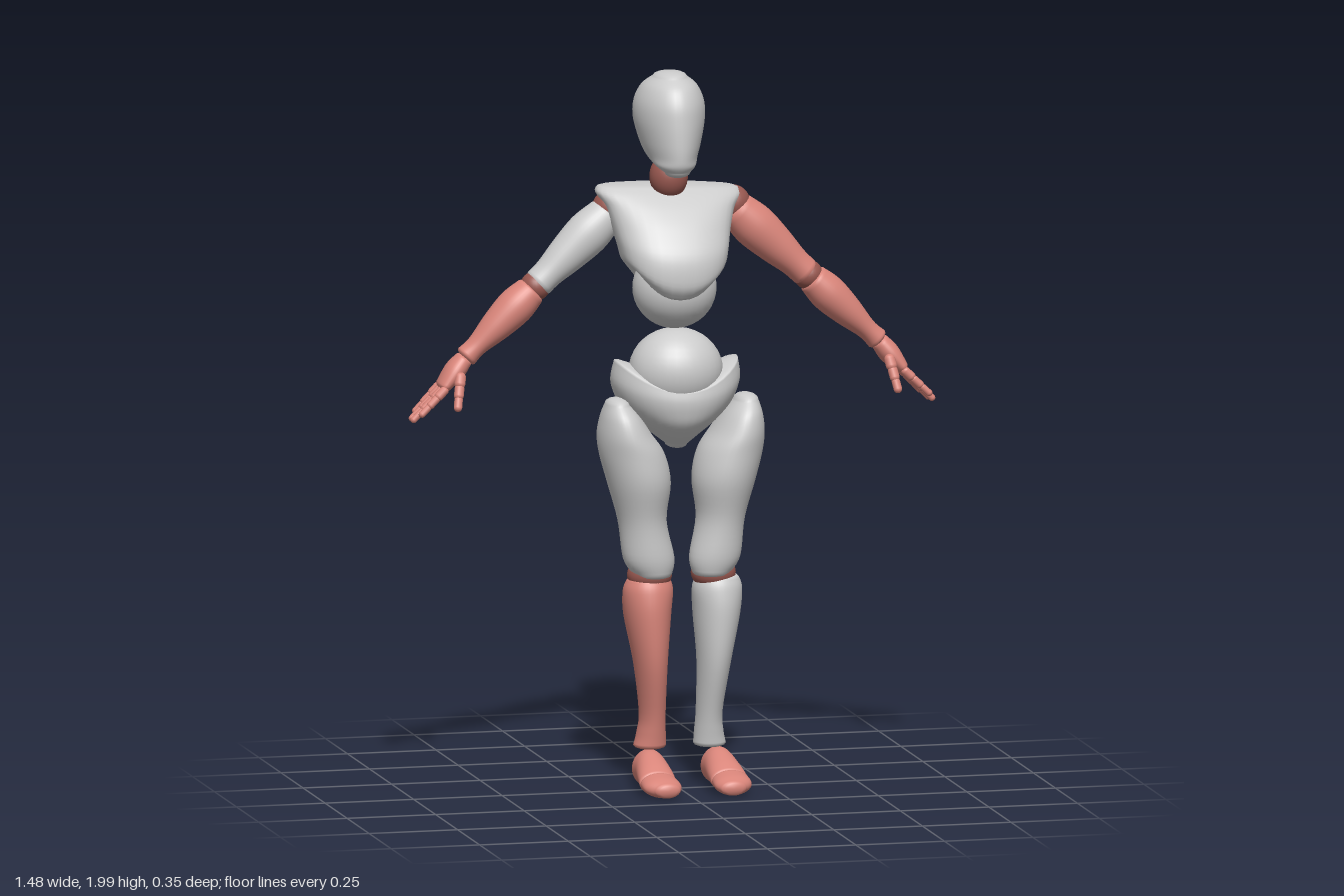
import * as THREE from 'three';

const GREY = 0xcccccc, RED = 0xd9857a, DARK = 0x985850;
const materials = {};
const material = (color) => (materials[color] ??= new THREE.MeshStandardMaterial({ color }));

const SEGS = 36;

// Smooth closed body through rows [y, cx, cz, rx, rz, rise]; rise lifts the ring's sides.
function loft(rows, { round = 0.015, power = 2, taper = 0, steps = 5 } = {}) {
  const rings = [];
  const at = (i) => rows[Math.min(Math.max(i, 0), rows.length - 1)];
  for (let i = 0; i < rows.length - 1; i++) {
    for (let s = 0; s < steps || (i === rows.length - 2 && s === steps); s++) {
      const t = s / steps, ring = [];
      for (let k = 0; k < 6; k++) {
        const [p0, p1, p2, p3] = [at(i - 1), at(i), at(i + 1), at(i + 2)].map((r) => r[k] ?? 0);
        const m1 = (p2 - p0) / 2, m2 = (p3 - p1) / 2;
        ring.push(p1 + t * m1 + t * t * (3 * (p2 - p1) - 2 * m1 - m2) + t * t * t * (2 * (p1 - p2) + m1 + m2));
      }
      rings.push(ring);
    }
  }
  // Rounded ends
  const first = rings[0], last = rings[rings.length - 1];
  const dome = (r, a, sign) => {
    const c = Math.cos(a);
    return [r[0] + sign * round * Math.sin(a), r[1], r[2], r[3] * c, r[4] * c, r[5] * c];
  };
  for (const a of [0.4, 0.8, 1.2]) {
    rings.unshift(dome(first, a, -1));
    rings.push(dome(last, a, 1));
  }
  const pos = [], index = [];
  const pw = (v) => Math.sign(v) * Math.abs(v) ** (2 / power);
  for (const [y, cx, cz, rx, rz, rise] of rings) {
    for (let j = 0; j < SEGS; j++) {
      const a = (j / SEGS) * Math.PI * 2, c = Math.cos(a), s = Math.sin(a);
      pos.push(cx + rx * pw(c) * (1 - taper * s), y + rise * c * c, cz + rz * pw(s));
    }
  }
  const n = rings.length, bottom = n * SEGS, top = bottom + 1;
  pos.push(first[1], first[0] - round, first[2], last[1], last[0] + round, last[2]);
  for (let j = 0; j < SEGS; j++) {
    const k = (j + 1) % SEGS, e = (n - 1) * SEGS;
    for (let i = 0; i < n - 1; i++) {
      const a = i * SEGS + j, b = i * SEGS + k;
      index.push(a, a + SEGS, b, b, a + SEGS, b + SEGS);
    }
    index.push(bottom, j, k, top, e + k, e + j);
  }
  const geo = new THREE.BufferGeometry();
  geo.setAttribute('position', new THREE.Float32BufferAttribute(pos, 3));
  geo.setIndex(index);
  geo.computeVertexNormals();
  return geo;
}

function add(parent, name, geo, color, x = 0, y = 0, z = 0) {
  const mesh = new THREE.Mesh(geo, material(color));
  mesh.name = name;
  mesh.position.set(x, y, z);
  parent.add(mesh);
  return mesh;
}

const ball = (rx, ry, rz) => new THREE.SphereGeometry(1, 32, 20).scale(rx, ry, rz);

// Loft from a to b, rows [t, rx, rz] along the line
function limb(parent, name, a, b, rows, color, round) {
  const d = b.clone().sub(a), len = d.length();
  const geo = loft(rows.map(([t, rx, rz]) => [t * len, 0, 0, rx, rz]), { round });
  const mesh = add(parent, name, geo, color, a.x, a.y, a.z);
  mesh.quaternion.setFromUnitVectors(new THREE.Vector3(0, 1, 0), d.normalize());
}

// Chain of small rounded finger bones
function finger(parent, name, a, b, r, bones) {
  for (let i = 0; i < bones; i++) {
    const p = a.clone().lerp(b, i / bones), q = a.clone().lerp(b, (i + 1) / bones), w = r * (1 - 0.12 * i);
    const mesh = add(parent, name, new THREE.CapsuleGeometry(w, p.distanceTo(q) - w, 5, 12), RED);
    mesh.position.copy(p).lerp(q, 0.5);
    mesh.quaternion.setFromUnitVectors(new THREE.Vector3(0, 1, 0), q.sub(p).normalize());
  }
}

function buildArm(parent, s) {
  const arm = new THREE.Group();
  arm.name = s > 0 ? 'leftArm' : 'rightArm';
  parent.add(arm);
  const v = (x, y, z) => new THREE.Vector3(s * x, y, z);
  const shoulder = v(0.185, 1.595, -0.092), elbow = v(0.385, 1.407, -0.086), wrist = v(0.585, 1.215, -0.086);
  add(arm, 'shoulderJoint', ball(0.05, 0.05, 0.05), DARK, s * 0.172, 1.615, -0.092);
  limb(arm, 'upperArm', shoulder, elbow,
    [[0, 0.052, 0.052], [0.25, 0.061, 0.059], [0.55, 0.053, 0.053], [0.8, 0.042, 0.046], [0.95, 0.041, 0.045]],
    s > 0 ? RED : GREY, 0.025);
  add(arm, 'elbowJoint', ball(0.041, 0.041, 0.044), DARK, elbow.x, elbow.y, elbow.z);
  limb(arm, 'forearm', elbow, wrist,
    [[0.07, 0.043, 0.047], [0.28, 0.051, 0.055], [0.55, 0.043, 0.049], [0.82, 0.029, 0.036], [0.97, 0.031, 0.034]],
    RED, 0.012);
  // Hand, flat side facing along the arm's plane
  const knuckle = v(0.648, 1.137, -0.088);
  limb(arm, 'palm', wrist, knuckle, [[0.05, 0.025, 0.032], [0.45, 0.029, 0.044], [0.95, 0.02, 0.047]], RED, 0.012);
  [0.1, 0.122, 0.118, 0.094].forEach((len, i) => {
    const z = -0.05 - i * 0.025, drop = 0.69 + i * 0.035;
    finger(arm, 'finger', v(0.647, 1.137, z),
      v(0.647 + len * 0.72, 1.137 - len * drop, z + (1.5 - i) * 0.006), 0.0125, 3);
  });
  finger(arm, 'thumb', v(0.605, 1.175, -0.05), v(0.622, 1.085, -0.012), 0.0155, 3);
}

function buildLeg(parent, s) {
  const leg = new THREE.Group();
  leg.name = s > 0 ? 'leftLeg' : 'rightLeg';
  parent.add(leg);
  const shift = (dx) => (s > 0 ? dx : 0);
  const thigh = [
    [0.61, 0.077, 0.005, 0.054, 0.055], [0.655, 0.087, 0.002, 0.071, 0.068], [0.76, 0.104, -0.005, 0.067, 0.08],
    [0.865, 0.113, -0.005, 0.087, 0.105], [0.945, 0.132, -0.01, 0.089, 0.113], [1.0, 0.153, -0.01, 0.073, 0.11],
    [1.05, 0.166, -0.003, 0.053, 0.088], [1.085, 0.175, 0, 0.033, 0.055]];
  const shin = [
    [0.125, 0.072, -0.047, 0.045, 0.048], [0.16, 0.069, -0.043, 0.04, 0.049], [0.22, 0.068, -0.034, 0.036, 0.052],
    [0.36, 0.077, -0.018, 0.046, 0.073], [0.49, 0.085, -0.022, 0.064, 0.087], [0.56, 0.085, -0.014, 0.069, 0.073],
    [0.592, 0.084, -0.01, 0.06, 0.058]];
  const side = (rows) => rows.map(([y, x, ...rest]) => [y, s * x, ...rest]);
  add(leg, 'thigh', loft(side(thigh), { round: 0.018 }), GREY, shift(0.013));
  add(leg, 'kneeJoint', ball(0.062, 0.048, 0.06), DARK, s * 0.082 + shift(0.016), 0.605, -0.008);
  add(leg, 'shin', loft(side(shin), { round: 0.012 }), s > 0 ? GREY : RED, shift(0.025));

  // Foot and toe lofts run heel to toe, then turn to lie along z
  const foot = new THREE.Group();
  foot.name = 'foot';
  foot.position.x = s * 0.078 + shift(0.038);
  leg.add(foot);
  const heel = [
    [-0.08, 0, -0.045, 0.03, 0.033], [-0.055, 0, -0.06, 0.042, 0.049], [-0.01, 0, -0.063, 0.044, 0.052],
    [0.05, s * 0.002, -0.052, 0.05, 0.042], [0.088, s * 0.004, -0.042, 0.052, 0.033]];
  const toe = [
    [0.1, s * 0.004, -0.041, 0.052, 0.03], [0.14, s * 0.002, -0.036, 0.052, 0.027], [0.167, -s * 0.004, -0.032, 0.036, 0.021]];
  add(foot, 'footBody', loft(heel, { round: 0.012 }).rotateX(Math.PI / 2), RED);
  add(foot, 'toes', loft(toe, { round: 0.012 }).rotateX(Math.PI / 2), RED);
}

export function createModel() {
  const figure = new THREE.Group();
  figure.name = 'mannequin';

  // Head with a narrower, lower chin at the front
  add(figure, 'head', loft([
    [1.733, 0, 0.065, 0.035, 0.032], [1.75, 0, 0.045, 0.055, 0.064], [1.772, 0, 0.005, 0.068, 0.108],
    [1.81, 0, -0.012, 0.082, 0.126], [1.87, 0, -0.024, 0.096, 0.134], [1.92, 0, -0.025, 0.094, 0.126],
    [1.962, 0, -0.022, 0.075, 0.099], [1.987, 0, -0.02, 0.046, 0.06]], { taper: 0.12 }), GREY, -0.02);
  add(figure, 'neck', ball(0.053, 0.062, 0.055), DARK, -0.02, 1.705, -0.04);

  // Chest, tilted a little to one side
  const chest = add(figure, 'chest', loft([
    [-0.112, 0, 0.002, 0.125, 0.115, 0.085], [-0.075, 0, 0.007, 0.143, 0.13, 0.06], [0, 0, -0.006, 0.153, 0.136, 0.02],
    [0.07, 0, -0.038, 0.166, 0.124], [0.12, 0, -0.063, 0.182, 0.103], [0.153, 0, -0.083, 0.204, 0.082],
    [0.17, 0, -0.09, 0.198, 0.062]], { power: 2.3, round: 0.01 }), GREY, -0.018, 1.5, 0);
  chest.rotation.z = -0.04;
  add(figure, 'abdomen', ball(0.116, 0.113, 0.112), GREY, -0.013, 1.403, -0.002);

  // Waist ball sitting in the pelvis
  add(figure, 'waist', ball(0.13, 0.118, 0.118), GREY, -0.01, 1.173, 0);
  add(figure, 'pelvis', loft([
    [0.968, 0, -0.02, 0.03, 0.05], [1.0, 0, -0.033, 0.072, 0.1], [1.035, 0, -0.035, 0.115, 0.132],
    [1.07, 0, -0.033, 0.158, 0.142, 0.015], [1.1, 0, -0.027, 0.18, 0.139, 0.045],
    [1.125, 0, -0.018, 0.172, 0.125, 0.08]], { round: 0.014 }), GREY, -0.005);

  for (const s of [1, -1]) {
    buildArm(figure, s);
    buildLeg(figure, s);
  }
  return figure;
}
